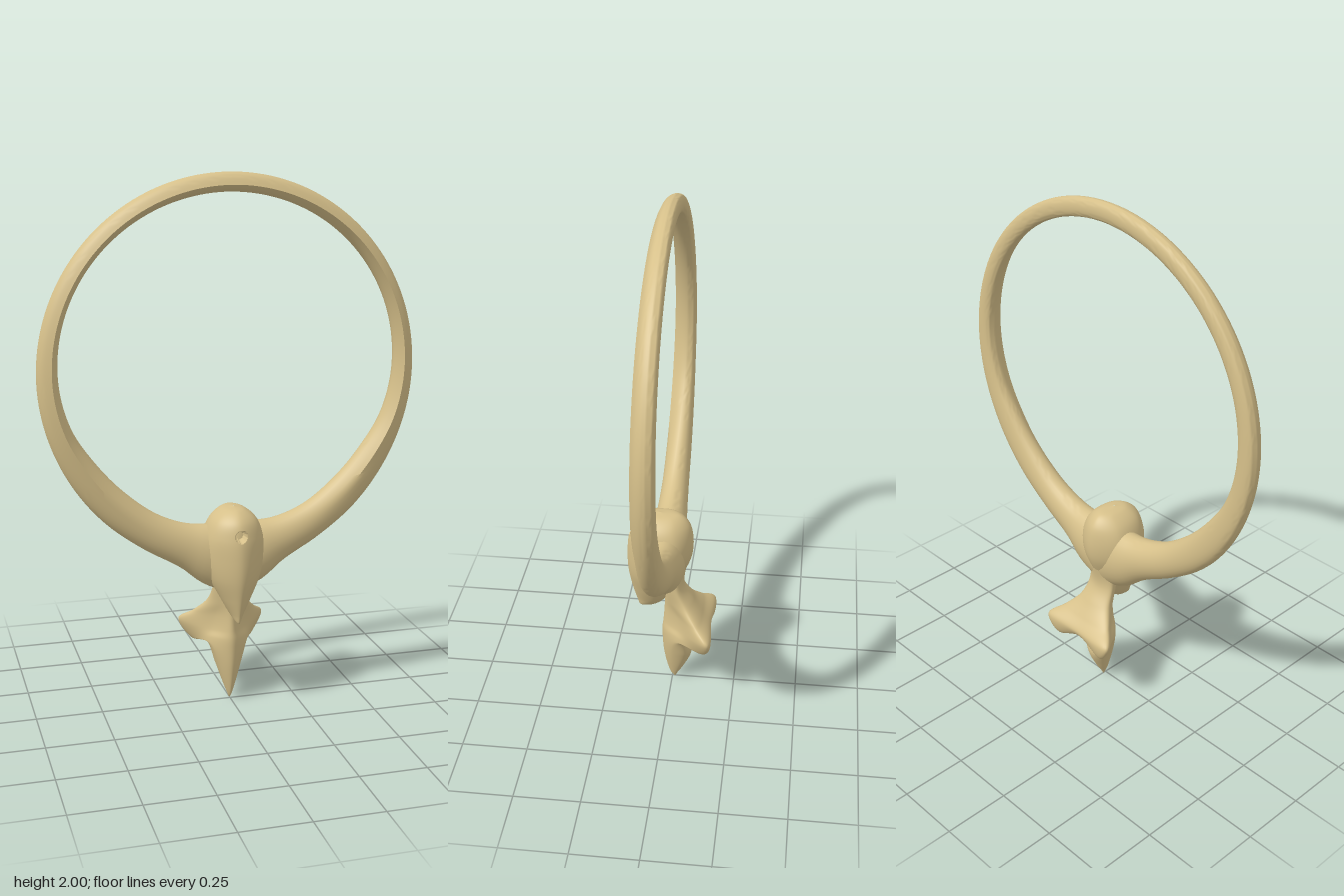
import * as THREE from 'three';
import { toCreasedNormals } from 'three/addons/utils/BufferGeometryUtils.js';

const V = (x, y, z) => new THREE.Vector3(x, y, z);

// Skin over rows of points; each row is a closed loop, rows optionally close too.
function skin(rows, closed) {
  const n = rows[0].length, m = rows.length, index = [];
  for (let j = 0; j < (closed ? m : m - 1); j++) {
    for (let i = 0; i < n; i++) {
      const k = (i + 1) % n, j2 = (j + 1) % m;
      const a = j * n + i, b = j * n + k, c = j2 * n + i, d = j2 * n + k;
      index.push(a, c, b, b, c, d);
    }
  }
  const geo = new THREE.BufferGeometry().setFromPoints(rows.flat());
  geo.setIndex(index);
  geo.computeVertexNormals();
  return geo;
}

// Mirrored loft from half sections [front, shoulder, side, back], listed top to bottom.
function loft(sections, around, along, adjust = (p) => p) {
  const loops = sections.map(([f, m, s, b]) => {
    const flip = (p) => V(-p.x, p.y, p.z);
    return new THREE.CatmullRomCurve3([f, m, s, b, flip(s), flip(m)], true);
  });
  const columns = [];
  for (let i = 0; i < around; i++) {
    columns.push(new THREE.CatmullRomCurve3(loops.map((l) => l.getPoint(i / around))));
  }
  const rows = [];
  for (let j = 0; j <= along; j++) rows.push(columns.map((c) => adjust(c.getPoint(j / along))));
  return skin(rows, false);
}

// Level half section at height y.
const level = (y, front, mx, mz, sx, sz, back) =>
  [V(0, y, front), V(mx, y, mz), V(sx, y, sz), V(0, y, back)];

// Hoop that widens and rounds off towards the head.
function hoopGeometry() {
  // angle from the bottom, inner radius, outer radius, back z, front z
  const half = [
    [0, 0.58, 0.85, -0.055, 0.1], [8, 0.58, 0.812, -0.052, 0.1], [15, 0.59, 0.762, -0.038, 0.089],
    [27, 0.595, 0.735, -0.029, 0.08], [42, 0.592, 0.724, -0.025, 0.075], [58, 0.6, 0.716, -0.022, 0.071],
    [72, 0.62, 0.712, -0.02, 0.068], [95, 0.636, 0.71, -0.02, 0.063], [180, 0.64, 0.71, -0.016, 0.055],
  ];
  const track = new THREE.CubicInterpolant(half.map((r) => r[0]), half.flatMap((r) => r.slice(1)), 4);
  // section with one sharp front ridge: across (inner to outer), depth (back to front)
  const ridge = new THREE.CatmullRomCurve3([
    [0.36, 1], [0.1, 0.66], [0, 0.36], [0.07, 0.12], [0.3, 0.01], [0.7, 0.01],
    [0.93, 0.12], [1, 0.35], [0.94, 0.58], [0.75, 0.8], [0.36, 1],
  ].map(([u, v]) => V(u, v, 0)));
  const N = 28, M = 180, rows = [];
  for (let j = 0; j < M; j++) {
    const deg = (j / M) * 360, phi = THREE.MathUtils.degToRad(deg), d = Math.min(deg, 360 - deg);
    const [ri, ro, zb, zf] = track.evaluate(d);
    const sharp = THREE.MathUtils.smoothstep(d, 20, 75);
    const row = [];
    for (let i = 0; i < N; i++) {
      const p = ridge.getPoint(i / N), a = 1.85 + (i / N) * Math.PI * 2;
      const u = THREE.MathUtils.lerp(0.5 + 0.5 * Math.cos(a), p.x, sharp);
      const v = THREE.MathUtils.lerp(0.5 + 0.5 * Math.sin(a), p.y, sharp);
      const r = ri + (ro - ri) * u;
      row.push(V(r * Math.sin(phi), 1.29 - r * Math.cos(phi), zb + (zf - zb) * v));
    }
    rows.push(row);
  }
  return toCreasedNormals(skin(rows, true), 0.75);
}

export function createModel() {
  const group = new THREE.Group();
  const bone = new THREE.MeshStandardMaterial({ color: 0xd6c08a });
  bone.name = 'bone';
  const add = (name, geo) => {
    const mesh = new THREE.Mesh(geo, bone);
    mesh.name = name;
    group.add(mesh);
  };

  add('hoop', hoopGeometry());

  // Domed head narrowing to a beak, with a small round pit in front
  const head = [
    level(0.785, 0.051, 0.001, 0.05, 0.001, 0.045, 0.044),
    level(0.775, 0.105, 0.035, 0.08, 0.036, 0.0, -0.03),
    level(0.74, 0.148, 0.072, 0.1, 0.075, -0.01, -0.065),
    level(0.68, 0.168, 0.092, 0.11, 0.1, -0.015, -0.08),
    level(0.6, 0.175, 0.092, 0.115, 0.112, 0.0, -0.076),
    level(0.52, 0.172, 0.076, 0.12, 0.095, 0.03, -0.045),
    level(0.44, 0.157, 0.047, 0.115, 0.056, 0.055, 0.0),
    level(0.38, 0.14, 0.02, 0.115, 0.025, 0.07, 0.035),
    level(0.35, 0.129, 0.006, 0.12, 0.006, 0.1, 0.08),
    level(0.347, 0.121, 0.001, 0.12, 0.001, 0.115, 0.114),
  ];
  add('head', loft(head, 160, 180, (p) => {
    if (p.z > 0.1 && Math.hypot(p.x, p.y - 0.695) < 0.02) p.z -= 0.04;
    return p;
  }));

  // Neck flaring back into two flukes, then a pointed leaf below
  const tail = [
    level(0.58, 0.05, 0.05, 0.03, 0.06, -0.02, -0.06),
    level(0.46, 0.03, 0.05, 0.01, 0.06, -0.025, -0.048),
    level(0.39, 0.03, 0.045, 0.0, 0.075, -0.06, -0.085),
    level(0.335, 0.032, 0.055, -0.025, 0.12, -0.105, -0.122),
    [V(0, 0.285, 0.036), V(0.068, 0.275, -0.035), V(0.168, 0.288, -0.152), V(0, 0.285, -0.155)],
    [V(0, 0.25, 0.04), V(0.075, 0.245, -0.03), V(0.118, 0.212, -0.135), V(0, 0.255, -0.135)],
    [V(0, 0.215, 0.04), V(0.064, 0.215, -0.01), V(0.08, 0.232, -0.055), V(0, 0.24, -0.05)],
    level(0.14, 0.035, 0.042, 0.0, 0.046, -0.055, -0.078),
    level(0.06, 0.02, 0.02, 0.0, 0.022, -0.03, -0.047),
    level(0.015, 0.004, 0.007, -0.005, 0.007, -0.015, -0.02),
    level(0.0, -0.008, 0.001, -0.01, 0.001, -0.012, -0.013),
  ];
  add('tail', loft(tail, 72, 120));

  return group;
}
